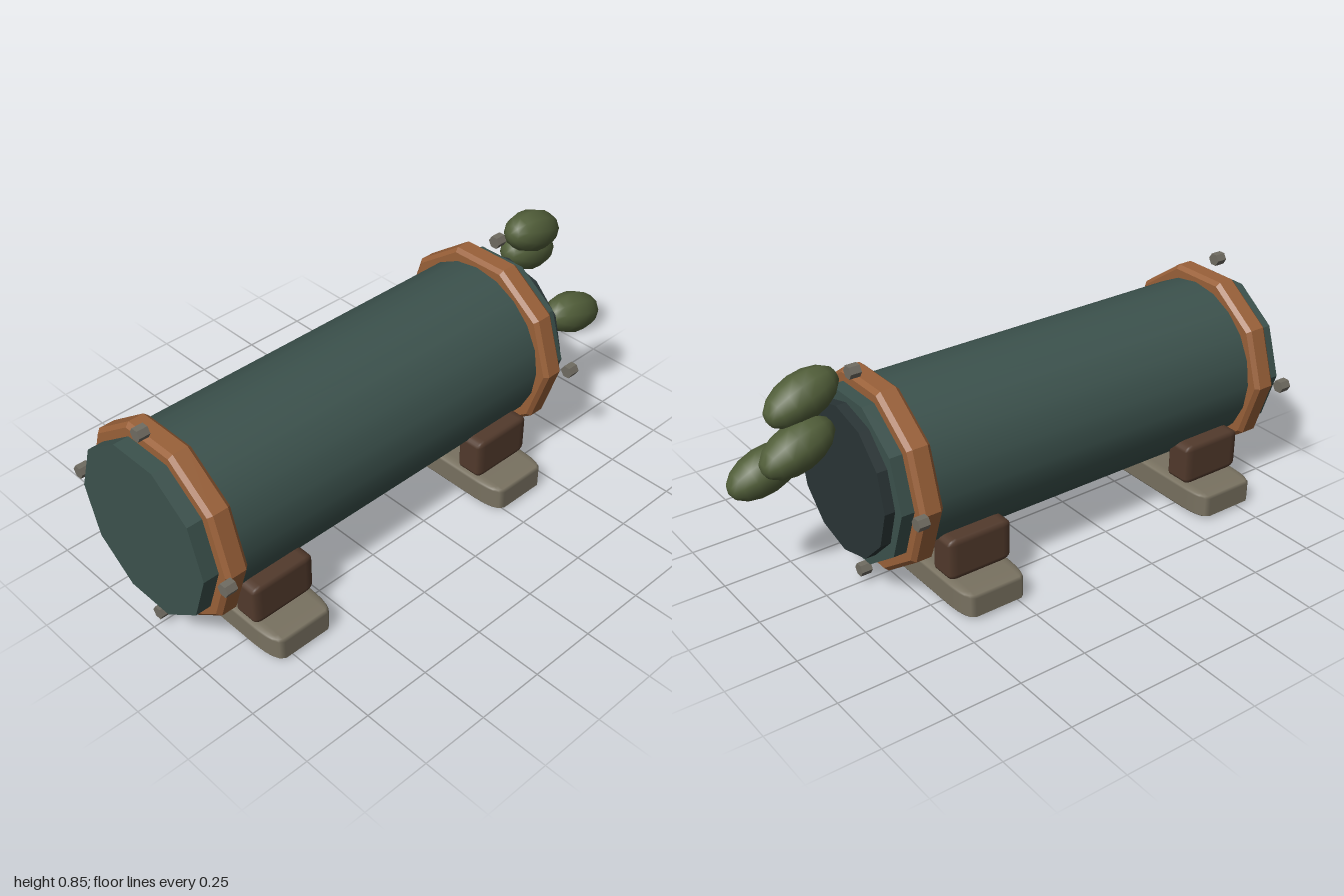
import * as THREE from 'three';
import { RoundedBoxGeometry } from 'three/addons/geometries/RoundedBoxGeometry.js';

const AXIS_Y = 0.425;

function material(name, color) {
  const m = new THREE.MeshStandardMaterial({ color });
  m.name = name;
  return m;
}

function faceted(geometry) {
  const g = geometry.toNonIndexed();
  g.computeVertexNormals();
  return g;
}

export function createModel() {
  const model = new THREE.Group();
  model.name = 'capsule';
  const teal = material('teal', 0x3c524d);
  const dark = material('darkHatch', 0x2a3536);
  const copper = material('copper', 0x9a6139);
  const brown = material('brown', 0x523a2c);
  const stone = material('stone', 0x787160);
  const iron = material('iron', 0x706c62);
  const olive = material('olive', 0x525f3a);

  function add(name, geometry, mat, x, y, z) {
    const mesh = new THREE.Mesh(geometry, mat);
    mesh.name = name;
    mesh.position.set(x, y, z);
    model.add(mesh);
    return mesh;
  }

  // Cylinder lying along x between two ends
  function drum(name, radius, x0, x1, sides, mat, y = AXIS_Y, z = 0, flat = true) {
    const g = new THREE.CylinderGeometry(radius, radius, x1 - x0, sides).rotateZ(-Math.PI / 2);
    return add(name, flat ? faceted(g) : g, mat, (x0 + x1) / 2, y, z);
  }

  // Body, end caps and hatch
  drum('body', 0.304, -0.93, 0.58, 20, teal, AXIS_Y, 0, false);
  drum('rearCap', 0.308, -1, -0.9, 10, teal);
  drum('frontCap', 0.308, 0.54, 0.632, 10, teal);
  drum('hatch', 0.27, 0.6, 0.67, 12, dark);

  // Bands with chamfered edges
  const profile = [
    [0.27, -0.043], [0.338, -0.043], [0.352, -0.028],
    [0.352, 0.028], [0.338, 0.043], [0.27, 0.043],
  ].map(([r, h]) => new THREE.Vector2(r, h));
  const band = faceted(new THREE.LatheGeometry(profile, 10).rotateZ(-Math.PI / 2));
  for (const x of [-0.9, 0.542]) add('band', band, copper, x, AXIS_Y, 0);

  // Hexagonal bolts around each end
  for (const x of [-0.96, 0.602]) {
    for (let i = 0; i < 4; i++) {
      const a = (i * Math.PI) / 2;
      drum('bolt', 0.024, x - 0.02, x + 0.02, 6, iron,
        AXIS_Y + 0.372 * Math.sin(a), 0.372 * Math.cos(a));
    }
  }

  // Cross skids with a pair of cradle blocks on each
  const soft = new RoundedBoxGeometry(1, 1, 1, 2, 0.14);
  const skid = soft.clone().scale(0.25, 0.1, 0.82);
  const block = soft.clone().scale(0.25, 0.155, 0.103);
  for (const x of [-0.695, 0.335]) {
    add('skid', skid, stone, x, 0.052, 0);
    for (const side of [1, -1]) add('cradleBlock', block, brown, x, 0.183, side * 0.258);
  }

  // Floating oval pods beside the hatch
  const pod = new THREE.SphereGeometry(1, 10, 8).scale(0.078, 0.138, 0.078).rotateZ(Math.PI / 2);
  for (const [x, y, z, yaw] of [[0.787, 0.763, 0, 0.08], [0.845, 0.632, -0.062, 0.08], [0.86, 0.45, 0.158, 0]]) {
    add('pod', pod, olive, x, y, z).rotation.set(0, yaw, -0.31);
  }

  return model;
}
